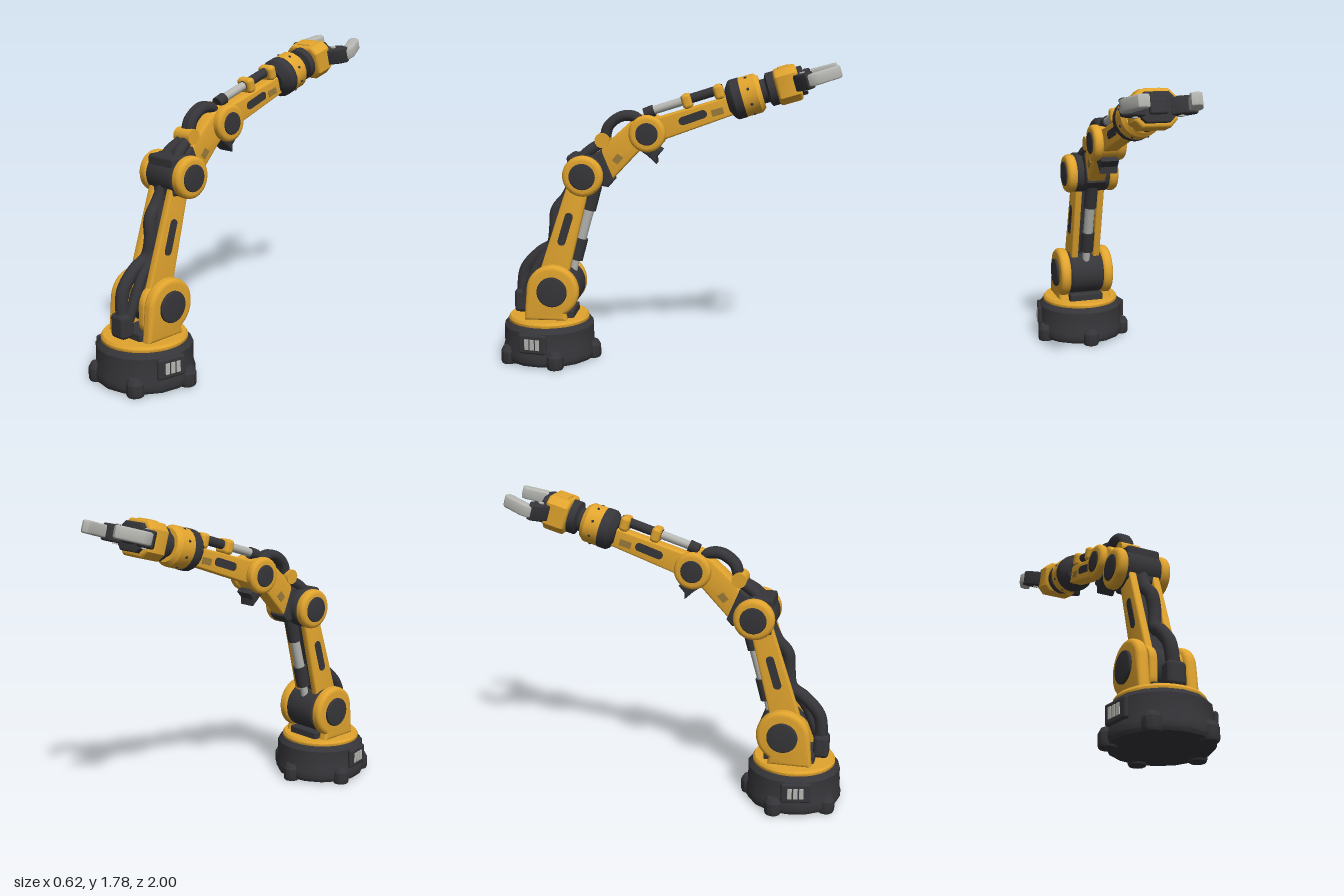
import * as THREE from 'three';
import { toCreasedNormals } from 'three/addons/utils/BufferGeometryUtils.js';
import { RoundedBoxGeometry } from 'three/addons/geometries/RoundedBoxGeometry.js';

const material = (name, color) => Object.assign(new THREE.MeshStandardMaterial({ color }), { name });

export function createModel() {
  const yellow = material('yellow paint', 0xe1a42e);
  const dark = material('dark rubber', 0x36363a);
  const steel = material('light steel', 0xb6b6b2);
  const worn = material('worn label', 0x9a7a3a);
  const root = new THREE.Group();
  root.name = 'robotArm';

  const add = (name, geo, mat, parent = root) => {
    const mesh = new THREE.Mesh(geo, mat);
    mesh.name = name;
    parent.add(mesh);
    return mesh;
  };
  const poly = pts => new THREE.Shape(pts.map(p => new THREE.Vector2(p[0], p[1])));
  const circle = (z, y, r) => new THREE.Shape().absarc(z, y, r, 0, Math.PI * 2, false);
  // Outline around two circles
  const hull = (a, ra, b, rb) => {
    const d = Math.atan2(b[1] - a[1], b[0] - a[0]);
    const t = Math.acos((ra - rb) / Math.hypot(b[0] - a[0], b[1] - a[1]));
    const s = new THREE.Shape();
    s.absarc(a[0], a[1], ra, d + t, d - t + Math.PI * 2, false);
    s.absarc(b[0], b[1], rb, d - t, d + t, false);
    return s;
  };
  // Bevelled extrusion centred on its depth
  const extrude = (shape, t, b) => {
    const g = new THREE.ExtrudeGeometry(shape, {
      depth: t - 2 * b, bevelEnabled: b > 0, bevelSize: b, bevelThickness: b,
      bevelOffset: -b, bevelSegments: 3, curveSegments: 20,
    });
    return toCreasedNormals(g.translate(0, 0, b - t / 2), 0.6);
  };
  // Side profile in (z, y), thickened along x
  const slab = (name, shape, x, t, b, mat, parent = root) =>
    add(name, extrude(shape, t, b).rotateY(-Math.PI / 2).translate(x, 0, 0), mat, parent);
  // Revolved profile of [radius, height]
  const lathe = (pts, seg) =>
    toCreasedNormals(new THREE.LatheGeometry(pts.map(p => new THREE.Vector2(p[0], p[1])), seg), 0.5);
  const rod = (name, a, b, r, mat, parent = root) => {
    const p = new THREE.Vector3(...a), q = new THREE.Vector3(...b);
    const m = add(name, new THREE.CylinderGeometry(r, r, p.distanceTo(q), 16), mat, parent);
    m.position.copy(p).add(q).multiplyScalar(0.5);
    m.quaternion.setFromUnitVectors(new THREE.Vector3(0, 1, 0), q.sub(p).normalize());
    return m;
  };
  const block = (name, w, h, d, x, y, z, r, mat, parent = root) => {
    const m = add(name, new RoundedBoxGeometry(w, h, d, 2, r), mat, parent);
    m.position.set(x, y, z);
    return m;
  };
  const hose = (name, pts, r) => add(name, new THREE.TubeGeometry(
    new THREE.CatmullRomCurve3(pts.map(p => new THREE.Vector3(...p))), 40, r, 10), dark);

  // Base drum, flange and turntable
  const baseZ = 0.71;
  add('baseDrum', lathe([[0, 0.01], [0.275, 0.01], [0.285, 0.03], [0.285, 0.07], [0.275, 0.1], [0.275, 0.21], [0.25, 0.24], [0, 0.24]], 16), dark)
    .position.z = baseZ;
  add('turntable', lathe([[0, 0.23], [0.24, 0.23], [0.245, 0.24], [0.245, 0.255], [0.235, 0.27], [0, 0.27]], 32), yellow)
    .position.z = baseZ;
  for (let i = 0; i < 5; i++) {
    const a = (54 + 72 * i) * Math.PI / 180;
    const foot = add('foot', lathe([[0, 0], [0.046, 0], [0.052, 0.015], [0.052, 0.075], [0.035, 0.105], [0, 0.105]], 12), dark);
    foot.position.set(0.27 * Math.cos(a), 0, baseZ + 0.265 * Math.sin(a));
  }

  // Socket panels on the base sides
  for (const s of [-1, 1]) {
    const port = new THREE.Group();
    port.name = 'socketPanel';
    port.position.set(s * 0.268, 0.15, 0.76);
    port.rotation.y = -s * 0.2;
    root.add(port);
    block('panelFrame', 0.03, 0.12, 0.175, 0, 0, 0, 0.014, dark, port);
    for (const z of [-0.037, -0.003, 0.031])
      block('socketBar', 0.008, 0.065, 0.026, s * 0.016, 0, z, 0.002, steel, port);
  }

  const shoulder = [0.657, 0.445], elbow = [0.469, 1.135], wrist = [0.098, 1.38];
  const armFoot = [0.685, 0.445], armTop = [0.49, 1.12];
  const cheek = new THREE.Shape();
  cheek.moveTo(0.57, 0.265);
  cheek.lineTo(0.83, 0.265);
  cheek.absarc(...shoulder, 0.157, 0.17, 4.2, false);

  // Paired side plates and joint caps
  for (const s of [-1, 1]) {
    slab('shoulderCheek', cheek, s * 0.14, 0.07, 0.025, yellow);
    slab('shoulderCap', circle(...shoulder, 0.09), s * 0.175, 0.03, 0.006, dark);
    slab('lowerArmHub', hull([0.7, 0.46], 0.1, [0.72, 0.36], 0.08), s * 0.076, 0.048, 0.01, yellow);
    slab('lowerArmPlate', hull(armFoot, 0.09, armTop, 0.062), s * 0.072, 0.045, 0.01, yellow);
    slab('lowerArmSlot', hull([0.608, 0.735], 0.024, [0.562, 0.885], 0.024), s * 0.0955, 0.008, 0, dark);
    slab('elbowDisc', circle(...elbow, 0.12), s * 0.13, 0.066, 0.025, yellow);
    slab('elbowCap', circle(...elbow, 0.077), s * 0.158, 0.024, 0.006, dark);
    slab('middleArmLabel', poly([[0.307, 1.22], [0.275, 1.195], [0.24, 1.235], [0.275, 1.26]]), s * 0.0555, 0.006, 0, worn);
    slab('wristDisc', circle(...wrist, 0.108), s * 0.07, 0.06, 0.022, yellow);
    slab('wristCap', circle(...wrist, 0.065), s * 0.096, 0.02, 0.005, dark);
  }

  // Cores of the lower arm and joints
  slab('shoulderMotor', circle(0.637, 0.445, 0.137), 0, 0.22, 0.015, dark);
  block('motorMount', 0.22, 0.06, 0.3, 0, 0.285, 0.69, 0.012, dark);
  slab('lowerArmCore', hull(armFoot, 0.055, armTop, 0.035), 0, 0.11, 0, dark);
  slab('elbowMotor', circle(...elbow, 0.118), 0, 0.21, 0.015, dark);
  block('elbowHousing', 0.205, 0.22, 0.1, 0, 1.142, 0.52, 0.02, dark);
  slab('wristCore', circle(...wrist, 0.098), 0, 0.1, 0.01, yellow);

  // Lower arm piston
  rod('pistonFoot', [0, 0.5, 0.565], [0, 0.63, 0.537], 0.024, steel);
  rod('pistonSleeve', [0, 0.61, 0.54], [0, 0.74, 0.505], 0.042, dark);
  rod('pistonRod', [0, 0.72, 0.51], [0, 0.94, 0.448], 0.031, steel);
  rod('pistonHead', [0, 0.915, 0.454], [0, 1.06, 0.415], 0.04, dark);

  // Middle arm with its brackets
  slab('middleArm', poly([[0.31, 1.1], [0.16, 1.26], [0.06, 1.35], [0.13, 1.46], [0.2, 1.445], [0.36, 1.3], [0.4, 1.19]]), 0, 0.11, 0.015, yellow);
  slab('middleArmBracket', poly([[0.33, 1.06], [0.295, 1.1], [0.37, 1.28], [0.46, 1.22], [0.46, 1.08]]), 0, 0.125, 0.012, dark);
  slab('wristBracket', poly([[0.16, 1.29], [0.1, 1.25], [0.045, 1.2], [0.045, 1.24], [0.01, 1.28], [0.08, 1.33]]), 0, 0.112, 0.01, dark);
  rod('hoseClamp', [-0.06, 1.335, 0.365], [0.06, 1.335, 0.365], 0.044, yellow);

  // Cable runs
  block('cableBox', 0.11, 0.14, 0.09, 0, 0.35, 0.87, 0.025, dark);
  hose('outerLowerHose', [[0, 0.38, 0.87], [-0.01, 0.54, 0.85], [-0.01, 0.645, 0.76], [0, 0.7, 0.68], [0.01, 0.8, 0.66], [0, 0.91, 0.65], [-0.01, 0.985, 0.59], [0, 1.1, 0.53]], 0.038);
  hose('innerLowerHose', [[0.03, 0.38, 0.85], [0.035, 0.5, 0.8], [0.03, 0.59, 0.755], [0.02, 0.7, 0.67], [0.015, 0.85, 0.63], [0.02, 1.0, 0.56]], 0.03);
  for (const s of [-1, 1])
    hose('elbowHose', [[s * 0.05, 1.17, 0.53], [s * 0.04, 1.26, 0.46], [s * 0.015, 1.33, 0.365], [s * 0.012, 1.42, 0.33], [s * 0.012, 1.475, 0.25], [s * 0.01, 1.47, 0.175], [0, 1.43, 0.14]], 0.032);

  // Forearm frame, with local -z pointing along the arm
  const fore = new THREE.Group();
  fore.name = 'forearm';
  fore.position.set(0, wrist[1], wrist[0]);
  fore.rotation.x = 16.5 * Math.PI / 180;
  root.add(fore);
  slab('forearmBeam', poly([[0.02, -0.07], [0.02, 0.07], [-0.52, 0.075], [-0.52, -0.035]]), 0, 0.09, 0.012, yellow, fore);
  for (const s of [-1, 1]) {
    slab('forearmSlot', hull([-0.218, 0.012], 0.024, [-0.34, 0.018], 0.024), s * 0.046, 0.008, 0, dark, fore);
    slab('forearmLabel', poly([[-0.39, -0.012], [-0.46, -0.012], [-0.46, 0.026], [-0.39, 0.026]]), s * 0.0455, 0.006, 0, worn, fore);
  }
  rod('cylinderEnd', [0, 0.11, -0.01], [0, 0.115, -0.07], 0.034, dark, fore);
  rod('cylinderRod', [0, 0.115, -0.05], [0, 0.12, -0.27], 0.025, steel, fore);
  rod('cylinderSleeve', [0, 0.12, -0.24], [0, 0.125, -0.49], 0.028, dark, fore);
  for (const z of [-0.27, -0.462])
    block('cylinderClamp', 0.104, 0.088, 0.058, 0, 0.114, z, 0.022, yellow, fore);

  // Rotating collar and neck
  const tool = new THREE.Group();
  tool.name = 'toolHead';
  tool.position.y = 0.045;
  fore.add(tool);
  const ring = (name, pts, mat) => add(name, lathe(pts, 20).rotateX(-Math.PI / 2), mat, tool);
  ring('collar', [[0, 0.495], [0.07, 0.495], [0.108, 0.52], [0.118, 0.535], [0.118, 0.585], [0, 0.585]], dark);
  ring('collarRing', [[0, 0.575], [0.108, 0.575], [0.116, 0.586], [0.116, 0.675], [0.095, 0.7], [0, 0.7]], yellow);
  ring('neck', [[0, 0.69], [0.07, 0.69], [0.07, 0.73], [0.098, 0.742], [0.098, 0.8], [0, 0.8]], dark);
  for (let i = 0; i < 8; i++) {
    const a = (i + 0.5) * Math.PI / 4;
    const bolt = add('collarBolt', new THREE.SphereGeometry(0.009, 8, 6), dark, tool);
    bolt.position.set(0.113 * Math.cos(a), 0.113 * Math.sin(a), -0.63);
  }

  // Gripper body, front plate and top rib
  const octagon = (w, h, c) => poly([[-w + c, -h], [w - c, -h], [w, -h + c], [w, h - c], [w - c, h], [-w + c, h], [-w, h - c], [-w, -h + c]]);
  add('gripperBody', extrude(octagon(0.118, 0.102, 0.04), 0.138, 0.02), yellow, tool).position.z = -0.853;
  add('gripperPlate', extrude(octagon(0.09, 0.08, 0.025), 0.05, 0.008), dark, tool).position.z = -0.928;
  block('gripperHub', 0.1, 0.08, 0.05, 0, 0, -0.95, 0.012, dark, tool);
  block('topRib', 0.1, 0.018, 0.07, 0, 0.1, -0.853, 0.008, yellow, tool);

  // Mirrored fingers
  for (const s of [-1, 1]) {
    const plan = (name, pts, h, mat) =>
      add(name, extrude(poly(pts.map(p => [p[0] * s, p[1]])), h, 0.01).rotateX(-Math.PI / 2), mat, tool);
    plan('knuckle', [[0.06, 0.91], [0.11, 0.885], [0.18, 0.925], [0.208, 0.958], [0.203, 0.985], [0.155, 1.0], [0.12, 0.99], [0.07, 0.955]], 0.095, dark);
    plan('fingerTip', [[0.165, 0.955], [0.205, 0.965], [0.217, 0.99], [0.215, 1.03], [0.168, 1.145], [0.14, 1.158], [0.108, 1.145], [0.108, 1.12], [0.148, 1.02], [0.148, 0.98]], 0.07, steel);
    rod('fingerPin', [s * 0.125, -0.054, -0.945], [s * 0.125, 0.054, -0.945], 0.016, steel, tool);
  }
  return root;
}
